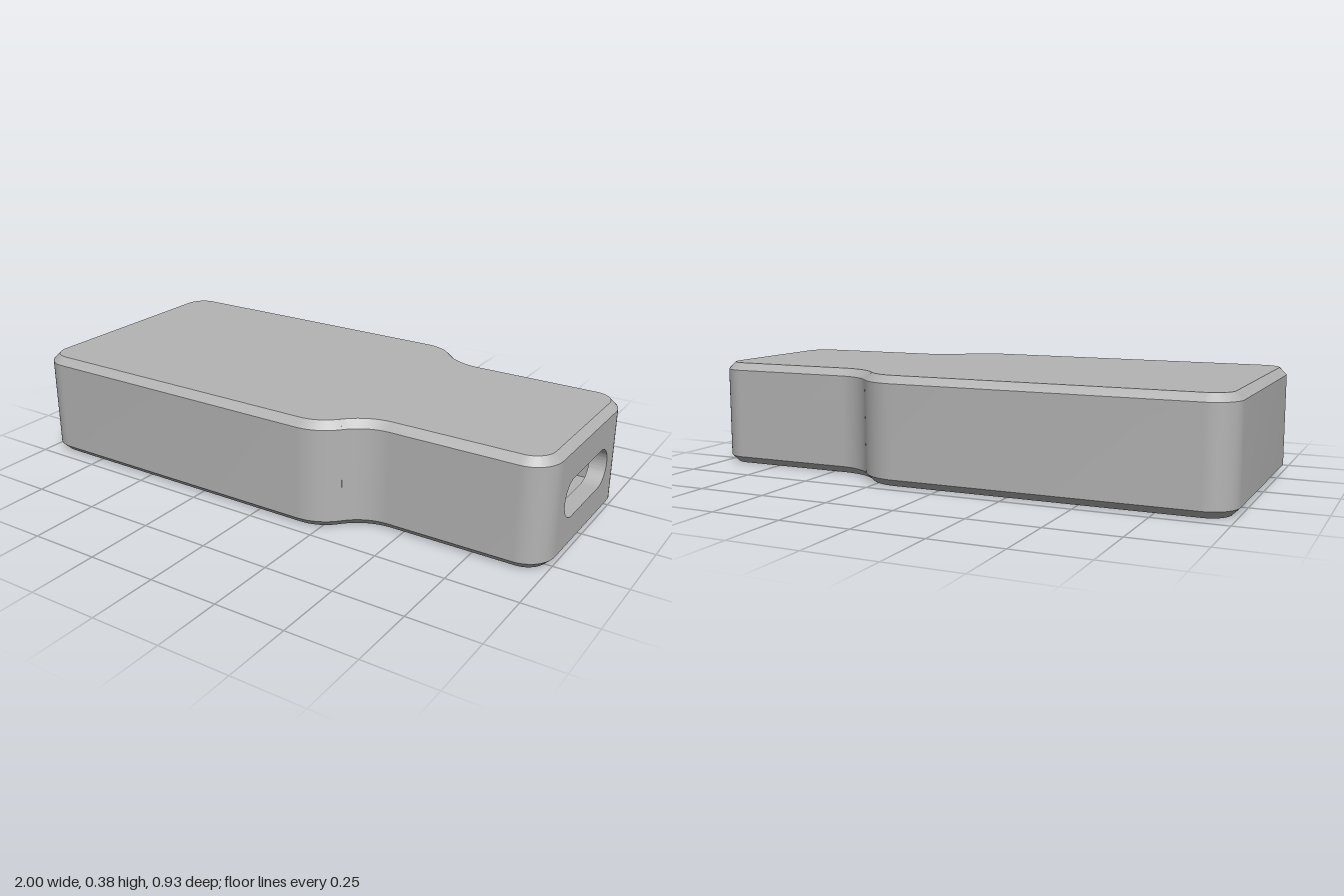
import * as THREE from 'three';
import { toCreasedNormals } from 'three/addons/utils/BufferGeometryUtils.js';

const HEIGHT = 0.384, CHAMFER = 0.026, WALL = 0.06;
const FLOOR = 0.07, CEILING = 0.32;
const POST_X = -0.21, POST_Z = 0.175, POST_R = 0.105, POST_TOP = 0.152;
const BORE_R = 0.035, SINK_R = 0.058;

// Plan outline inset by d, counter-clockwise from the narrow end; the last edge is the end face
function outline(d) {
  const half = [];
  const arc = (cx, cy, r, from, to) => {
    for (let i = 0; i <= 12; i++) {
      const a = THREE.MathUtils.degToRad(from + (to - from) * i / 12);
      half.push(new THREE.Vector2(cx + r * Math.cos(a), cy + r * Math.sin(a)));
    }
  };
  arc(0.9, 0.235, 0.1 - d, 0, 90);          // narrow end corner
  arc(0.45, 0.517, 0.182 + d, -90, -140);   // shoulder, concave
  arc(0.171, 0.283, 0.182 - d, 40, 90);     // shoulder, convex
  arc(-0.9, 0.365, 0.1 - d, 90, 180);       // wide end corner
  const mirrored = half.slice().reverse().map(p => new THREE.Vector2(p.x, -p.y));
  return half.concat(mirrored);
}

// Band of quads between two inset outlines at two heights
function band(d0, y0, d1, y1, closed) {
  const a = outline(d0), b = outline(d1), n = a.length, pos = [];
  for (let i = 0; i < (closed ? n : n - 1); i++) {
    const j = (i + 1) % n;
    const p = [a[i].x, y0, -a[i].y], q = [a[j].x, y0, -a[j].y];
    const r = [b[j].x, y1, -b[j].y], s = [b[i].x, y1, -b[i].y];
    pos.push(...p, ...q, ...r, ...p, ...r, ...s);
  }
  const g = new THREE.BufferGeometry();
  g.setAttribute('position', new THREE.Float32BufferAttribute(pos, 3));
  return toCreasedNormals(g, 0.5);
}

// Flat horizontal face, with optional screw holes
function cap(d, y, up, holeR = 0) {
  const shape = new THREE.Shape(outline(d));
  if (holeR) for (const s of [-1, 1]) {
    shape.holes.push(new THREE.Path().absarc(POST_X, s * POST_Z, holeR, 0, Math.PI * 2, true));
  }
  return new THREE.ShapeGeometry(shape, 20).rotateX(up ? -Math.PI / 2 : Math.PI / 2).translate(0, y, 0);
}

export function createModel() {
  const group = new THREE.Group();
  const grey = new THREE.MeshStandardMaterial({ color: 0xb4b4b4 });
  grey.name = 'grey plastic';
  const add = (name, geometry) => {
    const mesh = new THREE.Mesh(geometry, grey);
    mesh.name = name;
    group.add(mesh);
    return mesh;
  };

  // Outer shell
  const top = HEIGHT - CHAMFER;
  add('outerWall', band(0, CHAMFER, 0, top, false));
  add('topChamfer', band(0, top, CHAMFER, HEIGHT, true));
  add('bottomChamfer', band(CHAMFER, 0, 0, CHAMFER, true));
  add('topFace', cap(CHAMFER, HEIGHT, true));
  add('bottomFace', cap(CHAMFER, 0, false, SINK_R));

  // Hollow interior
  add('innerWall', band(WALL, CEILING, WALL, FLOOR, false));
  add('innerFloor', cap(WALL, FLOOR, true, BORE_R));
  add('innerCeiling', cap(WALL, CEILING, false));

  // Narrow end plate with the rounded slot
  const plate = new THREE.Shape([[-0.235, CHAMFER], [0.235, CHAMFER], [0.235, top], [-0.235, top]]
    .map(p => new THREE.Vector2(...p)));
  const slot = new THREE.Path();
  slot.absarc(0.119, 0.189, 0.069, -Math.PI / 2, Math.PI / 2, false);
  slot.absarc(-0.119, 0.189, 0.069, Math.PI / 2, Math.PI * 1.5, false);
  slot.closePath();
  plate.holes.push(slot);
  const end = new THREE.ExtrudeGeometry(plate, { depth: WALL, bevelEnabled: false, curveSegments: 20 });
  end.rotateY(Math.PI / 2).translate(1 - WALL, 0, 0);
  add('slottedEnd', toCreasedNormals(end, 0.5));

  // Screw posts with countersunk bores
  const profile = [[POST_R, FLOOR], [POST_R, POST_TOP], [BORE_R, POST_TOP], [BORE_R, 0.025], [SINK_R, 0]]
    .map(p => new THREE.Vector2(...p));
  for (const s of [-1, 1]) {
    const post = add('screwPost', toCreasedNormals(new THREE.LatheGeometry(profile, 40), 0.5));
    post.position.set(POST_X, 0, s * POST_Z);
  }
  return group;
}
